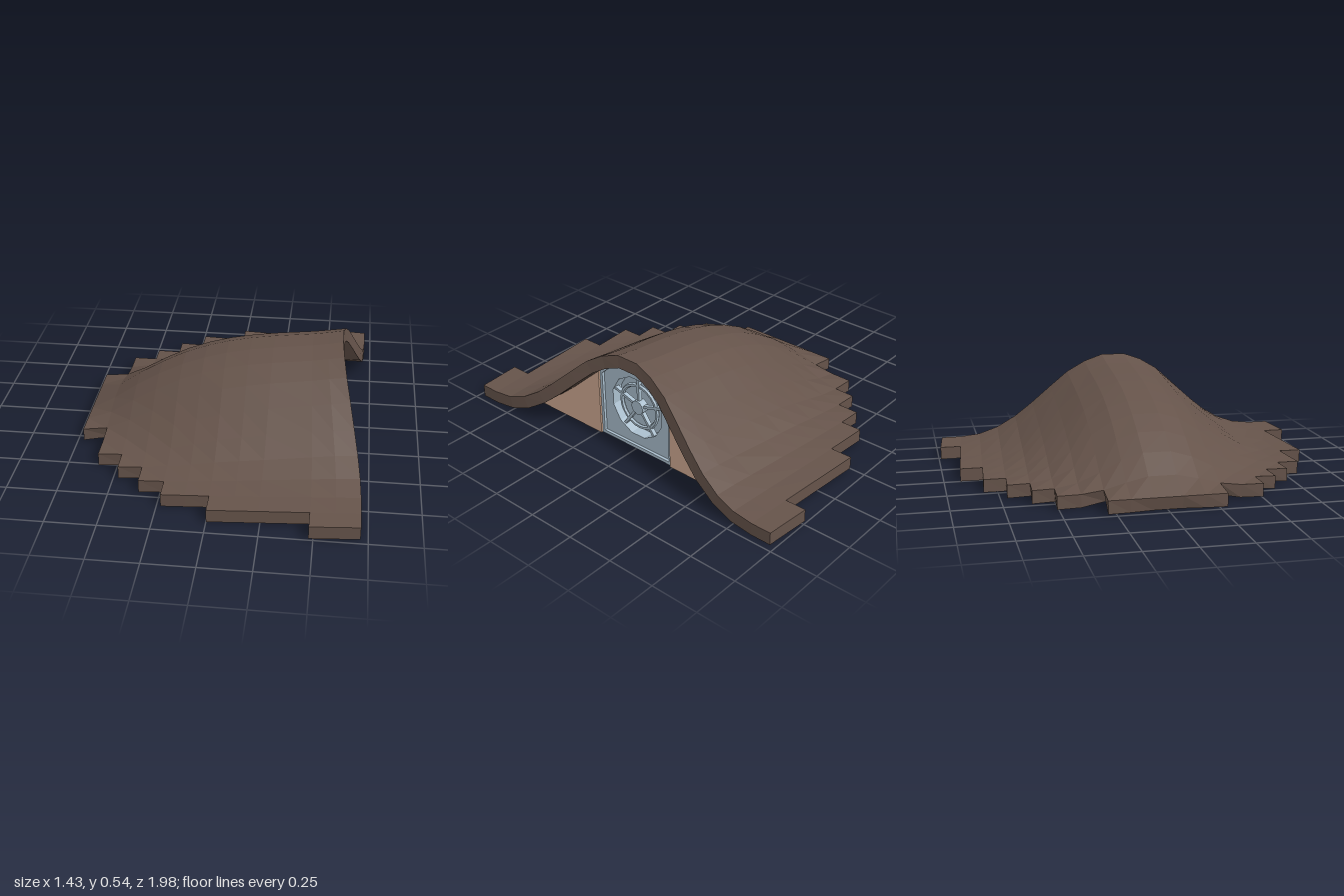
import * as THREE from 'three';

const BASE = 0.067, THICK = 0.066;
const mat = (color) => new THREE.MeshStandardMaterial({ color, flatShading: true });

// Linear interpolation through [position, value] points, clamped at both ends
function lerpTable(table, p) {
  if (p <= table[0][0]) return table[0][1];
  for (let i = 1; i < table.length; i++) {
    const [a, va] = table[i - 1], [b, vb] = table[i];
    if (p <= b) return va + (vb - va) * (p - a) / (b - a);
  }
  return table[table.length - 1][1];
}

// Ridge height along x, half width of the swell along x, and its bell section
const RIDGE = [[-0.72, 0.067], [-0.63, 0.112], [-0.55, 0.18], [-0.45, 0.245], [-0.35, 0.305], [-0.22, 0.37],
  [-0.1, 0.415], [0, 0.443], [0.12, 0.468], [0.25, 0.487], [0.36, 0.498], [0.48, 0.513], [0.59, 0.535]];
const WIDTH = [[-0.72, 0.28], [-0.6, 0.42], [-0.47, 0.54], [-0.35, 0.63], [-0.22, 0.71], [0, 0.78], [0.36, 0.84], [0.59, 0.85]];
const BELL = [[0, 1], [0.075, 1], [0.235, 0.893], [0.353, 0.73], [0.47, 0.52], [0.59, 0.33], [0.7, 0.17], [0.8, 0.08], [0.88, 0.03], [1, 0]];

const height = (x, z) =>
  BASE + (lerpTable(RIDGE, x) - BASE) * lerpTable(BELL, Math.abs(z) / lerpTable(WIDTH, x));

// Roof grid: column lines in x, row lines in z, and rows kept per column (stepped eaves)
const COLS = [-0.72, -0.595, -0.475, -0.355, -0.23, -0.115, 0, 0.12, 0.24, 0.36, 0.48, 0.6];
const HALF = [0.065, 0.165, 0.265, 0.365, 0.47, 0.57, 0.675, 0.78, 0.89, 1.0];
const ROWS = [...HALF.map((z) => -z).reverse(), ...HALF];
const KEEP = [2, 4, 5, 6, 7, 7, 8, 8, 8, 9, 9];

function roofPoint(i, j) {
  let x = COLS[i];
  if (i > 8) { // the open end leans back towards the crown
    const front = 0.715 - 0.125 * (height(0.6, ROWS[j]) - BASE) / 0.468;
    x = 0.36 + (i - 8) / 3 * (front - 0.36);
  }
  const z = ROWS[j] * (1 - 0.085 * (x - 0.36));
  const e = 0.03;
  const n = new THREE.Vector3(
    -(height(x + e, z) - height(x - e, z)) / (2 * e), 1,
    -(height(x, z + e) - height(x, z - e)) / (2 * e)).normalize();
  const top = new THREE.Vector3(x, height(x, z), z);
  const bottom = top.clone().addScaledVector(n, -THICK);
  bottom.y = Math.max(bottom.y, 0);
  return { top, bottom };
}

function roofGeometry() {
  const grid = COLS.map((_, i) => ROWS.map((_, j) => roofPoint(i, j)));
  const pos = [];
  const quad = (a, b, c, d) => [a, b, c, a, c, d].forEach((p) => pos.push(p.x, p.y, p.z));
  const wall = (a, b) => quad(a.top, a.bottom, b.bottom, b.top);
  const has = (i, j) => i >= 0 && i < KEEP.length && j >= 9 - KEEP[i] && j <= 9 + KEEP[i];
  for (let i = 0; i < KEEP.length; i++) {
    for (let j = 0; j < ROWS.length - 1; j++) {
      if (!has(i, j)) continue;
      const a = grid[i][j], b = grid[i][j + 1], c = grid[i + 1][j + 1], d = grid[i + 1][j];
      quad(a.top, b.top, c.top, d.top);
      quad(a.bottom, d.bottom, c.bottom, b.bottom);
      if (!has(i - 1, j)) wall(a, b);
      if (!has(i, j + 1)) wall(b, c);
      if (!has(i + 1, j)) wall(c, d);
      if (!has(i, j - 1)) wall(d, a);
    }
  }
  const g = new THREE.BufferGeometry();
  g.setAttribute('position', new THREE.Float32BufferAttribute(pos, 3));
  g.computeVertexNormals();
  return g;
}

// Extrudes an outline drawn in (z, y) from x0 to x1
function slab(points, x0, x1, hole) {
  const shape = new THREE.Shape(points.map(([a, b]) => new THREE.Vector2(a, b)));
  if (hole) shape.holes.push(new THREE.Path(hole.map(([a, b]) => new THREE.Vector2(a, b))));
  const g = new THREE.ExtrudeGeometry(shape, { depth: x1 - x0, bevelEnabled: false });
  return g.rotateY(Math.PI / 2).translate(x0, 0, 0);
}

export function createModel() {
  const model = new THREE.Group();
  const brown = mat(0x65534a), tan = mat(0xd0aa92), blue = mat(0xabbfce);
  const add = (name, geometry, material, parent = model) => {
    const m = new THREE.Mesh(geometry, material);
    m.name = name;
    parent.add(m);
    return m;
  };

  add('roof', roofGeometry(), brown);

  // Gable walls either side of the window, following the roof underside
  for (const s of [1, -1]) {
    const outline = [[s * 0.235, 0], [s * 0.85, 0]];
    for (const z of [0.85, 0.75, 0.68, 0.6, 0.5, 0.4, 0.3, 0.235])
      outline.push([s * z, Math.max(height(0.5, z) - 0.055, 0.012)]);
    add(s > 0 ? 'rightGableWall' : 'leftGableWall', slab(outline, 0.455, 0.56), tan);
  }

  // Window: frame, panel with a twelve-sided opening, and a spoked wheel
  const vent = new THREE.Group();
  vent.name = 'window';
  model.add(vent);
  const arch = (inset) => {
    const w = 0.237 - inset, k = inset * 0.9;
    return [[-w, inset], [w, inset], [w, 0.375 - k], [0.16, 0.43 - k], [0.08, 0.462 - k],
      [-0.08, 0.462 - k], [-0.16, 0.43 - k], [-w, 0.375 - k]];
  };
  const CY = 0.235;
  const opening = Array.from({ length: 12 }, (_, i) => {
    const a = (i + 0.5) / 12 * Math.PI * 2;
    return [0.168 * Math.cos(a), CY + 0.168 * Math.sin(a)];
  });
  add('windowFrame', slab(arch(0), 0.455, 0.55, arch(0.018)), blue, vent);
  add('windowPanel', slab(arch(0.016), 0.46, 0.535, opening), blue, vent);
  add('windowBack', slab(arch(0.016), 0.457, 0.475), blue, vent);

  const wheel = new THREE.Group();
  wheel.name = 'spokedWheel';
  wheel.position.set(0.515, CY, 0);
  vent.add(wheel);
  add('wheelRing', new THREE.TorusGeometry(0.118, 0.011, 6, 24).rotateY(Math.PI / 2), blue, wheel);
  add('wheelHub', new THREE.CylinderGeometry(0.038, 0.038, 0.04, 12).rotateZ(Math.PI / 2), blue, wheel);
  for (let i = 0; i < 5; i++) {
    const spoke = add('wheelSpoke', new THREE.BoxGeometry(0.022, 0.14, 0.014).translate(0, 0.098, 0), blue, wheel);
    spoke.rotation.x = i / 5 * Math.PI * 2;
  }
  return model;
}
